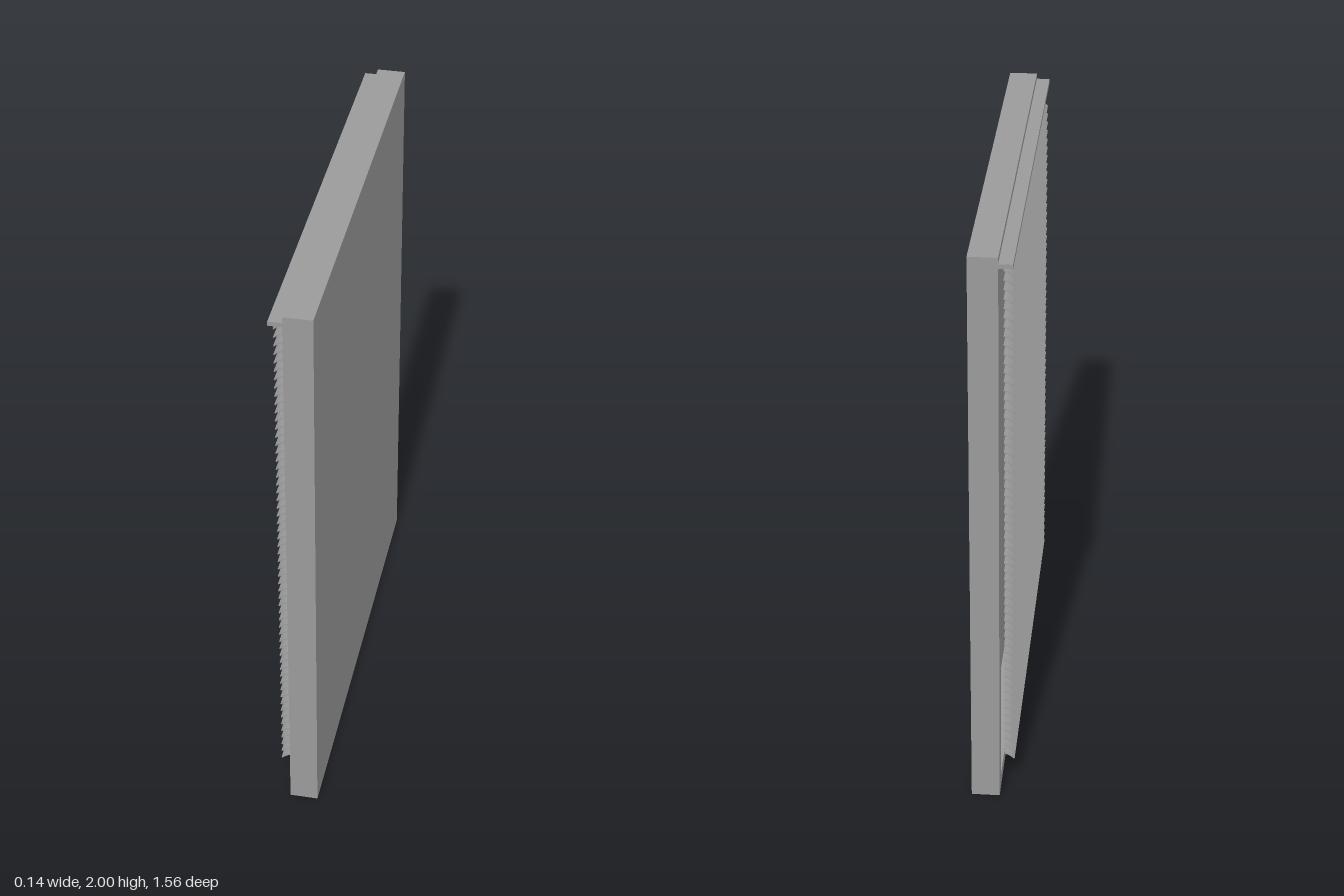
import * as THREE from 'three';

const material = new THREE.MeshStandardMaterial({ color: 0x9a9a9a, side: THREE.DoubleSide });

export function createModel() {
  const model = new THREE.Group();

  const add = (parent, name, geometry, x, y, z) => {
    const mesh = new THREE.Mesh(geometry, material);
    mesh.name = name;
    mesh.position.set(x, y, z);
    parent.add(mesh);
    return mesh;
  };
  const box = (parent, name, w, h, d, x, y, z) =>
    add(parent, name, new THREE.BoxGeometry(w, h, d), x, y, z);

  // Window frame, open on the blind side
  const points = list => list.map(p => new THREE.Vector2(...p));
  const outer = new THREE.Shape(points([[-0.778, 0], [0.778, 0], [0.778, 2], [-0.778, 2]]));
  outer.holes.push(new THREE.Path(points([[-0.72, 0.05], [-0.72, 1.95], [0.72, 1.95], [0.72, 0.05]])));
  const frame = new THREE.ExtrudeGeometry(outer, { depth: 0.095, bevelEnabled: false });
  frame.rotateY(Math.PI / 2);
  add(model, 'windowFrame', frame, -0.025, 0, 0);

  // Pane closing the frame, flush with its far face
  box(model, 'windowPane', 0.04, 1.9, 1.44, 0.05, 1, 0);

  // Venetian blind
  const blind = new THREE.Group();
  blind.name = 'blind';
  model.add(blind);
  box(blind, 'headRail', 0.045, 0.015, 1.56, -0.0475, 1.9725, 0);

  // Slightly arched slat section, sloping down and outward
  const section = new THREE.Shape();
  section.moveTo(-0.017, -0.01);
  section.quadraticCurveTo(-0.003, 0.005, 0.018, 0.011);
  section.lineTo(0.018, 0.007);
  section.quadraticCurveTo(-0.002, 0.001, -0.0145, -0.0125);
  const slat = new THREE.ExtrudeGeometry(section, { depth: 1.42, bevelEnabled: false, curveSegments: 3 });
  slat.translate(0, 0, -0.71);
  const count = 58;
  for (let i = 0; i < count; i++) {
    add(blind, 'slat', slat, -0.053, 0.118 + (i * 1.799) / (count - 1), 0);
  }

  // Lift cords
  for (const side of [-1, 1]) {
    box(blind, 'liftCord', 0.004, 1.85, 0.003, -0.052, 1.045, side * 0.58);
  }
  return model;
}
